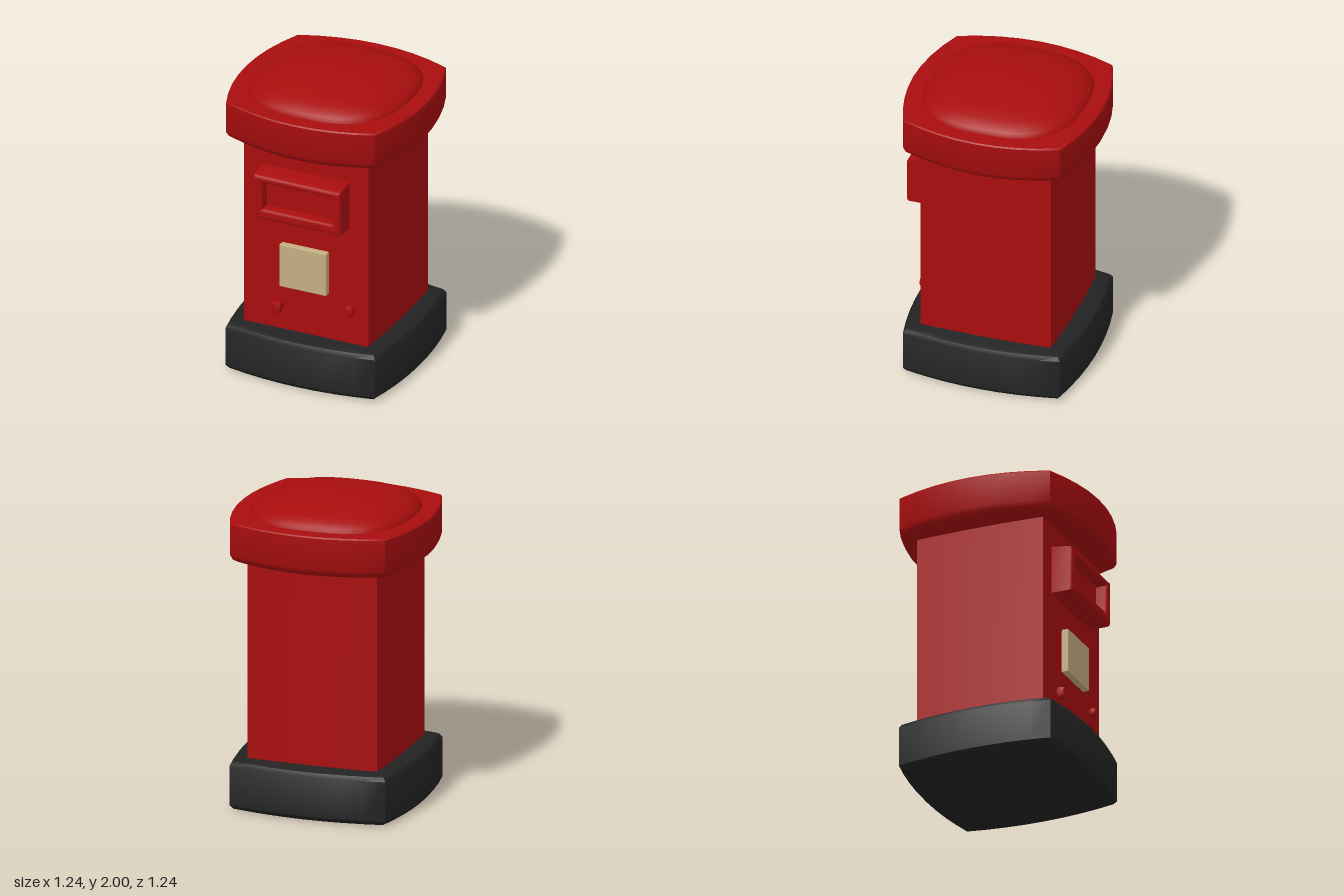
import * as THREE from 'three';
import { toCreasedNormals } from 'three/addons/utils/BufferGeometryUtils.js';
import { RoundedBoxGeometry } from 'three/addons/geometries/RoundedBoxGeometry.js';

// Square outline whose four sides bow outward: m = half width mid-side, c = half width at corners
function bowedSquare(m, c, steps = 8) {
  const pts = [];
  for (let k = 0; k < 4; k++) {
    for (let i = 0; i < steps; i++) {
      const t = -1 + (2 * i) / steps;
      const u = c * t, v = m - (m - c) * t * t;
      pts.push([[u, v], [v, -u], [-u, -v], [-v, u]][k]);
    }
  }
  return pts;
}

// Circle pushed slightly towards a square
function softCircle(r, n = 2.7, steps = 40) {
  const pts = [];
  for (let i = 0; i < steps; i++) {
    const a = (i / steps) * Math.PI * 2;
    const s = Math.sin(a), c = Math.cos(a);
    const k = r / Math.pow(Math.abs(s) ** n + Math.abs(c) ** n, 1 / n);
    pts.push([s * k, c * k]);
  }
  return pts;
}

// Stacks outlines from bottom to top and closes both ends
function loft(rings, crease = 0.6) {
  const pos = [];
  const n = rings[0].pts.length;
  const at = (r, i) => [r.pts[i % n][0], r.y, r.pts[i % n][1]];
  for (let i = 0; i < n; i++) {
    for (let j = 0; j < rings.length - 1; j++) {
      const a = at(rings[j], i), b = at(rings[j], i + 1);
      const c = at(rings[j + 1], i + 1), d = at(rings[j + 1], i);
      pos.push(...a, ...b, ...c, ...a, ...c, ...d);
    }
    const lo = rings[0], hi = rings[rings.length - 1];
    pos.push(0, lo.y, 0, ...at(lo, i + 1), ...at(lo, i));
    pos.push(0, hi.yCentre ?? hi.y, 0, ...at(hi, i), ...at(hi, i + 1));
  }
  const g = new THREE.BufferGeometry();
  g.setAttribute('position', new THREE.Float32BufferAttribute(pos, 3));
  return toCreasedNormals(g, crease);
}

function rectPath(Type, x0, y0, x1, y1) {
  return new Type([[x0, y0], [x1, y0], [x1, y1], [x0, y1]].map(p => new THREE.Vector2(...p)));
}

export function createModel() {
  const red = new THREE.MeshStandardMaterial({ color: 0xa80d0e });
  red.name = 'pillar red';
  const black = new THREE.MeshStandardMaterial({ color: 0x222222 });
  black.name = 'base black';
  const cream = new THREE.MeshStandardMaterial({ color: 0xc4ad80 });
  cream.name = 'notice cream';

  const model = new THREE.Group();
  model.name = 'postBox';
  const add = (name, geometry, material, x = 0, y = 0, z = 0) => {
    const mesh = new THREE.Mesh(geometry, material);
    mesh.name = name;
    mesh.position.set(x, y, z);
    model.add(mesh);
    return mesh;
  };
  const bowedStack = rows => loft(rows.map(([y, m, c]) => ({ y, pts: bowedSquare(m, c) })));

  // Black plinth with softened rims
  add('base', bowedStack([
    [0, 0.53, 0.475], [0.01, 0.555, 0.498], [0.035, 0.575, 0.517],
    [0.295, 0.575, 0.517], [0.32, 0.56, 0.502], [0.33, 0.535, 0.48],
  ]), black);

  // Pillar: bowed sides and back, flat front
  const body = [0.3, 1.66].map(y => ({
    y, pts: bowedSquare(0.443, 0.43).map(([x, z]) => [x, Math.min(z, 0.43)]),
  }));
  add('body', loft(body), red);

  // Overhanging cap with a rounded lower rim
  add('cap', bowedStack([
    [1.61, 0.55, 0.445], [1.618, 0.58, 0.475], [1.64, 0.608, 0.502],
    [1.67, 0.622, 0.515], [1.872, 0.622, 0.515], [1.88, 0.615, 0.508],
  ]), red);

  // Low dome on the cap
  const dome = [
    [1.87, 0.512], [1.885, 0.51], [1.905, 0.495], [1.93, 0.462], [1.95, 0.42],
    [1.975, 0.33], [1.99, 0.22], [1.998, 0.1],
  ].map(([y, r]) => ({ y, pts: softCircle(r) }));
  dome[dome.length - 1].yCentre = 2;
  add('dome', loft(dome, 0.9), red);

  // Letter slot: bevelled frame, top sloping down towards the front
  const bevel = 0.02;
  const frame = rectPath(THREE.Shape, -0.28, 1.16, 0.28, 1.44);
  frame.holes.push(rectPath(THREE.Path, -0.26, 1.19, 0.26, 1.415));
  const slot = new THREE.ExtrudeGeometry(frame, {
    depth: 0.14, bevelEnabled: true, bevelSize: bevel, bevelThickness: bevel, bevelSegments: 3,
  });
  slot.translate(0, 0, 0.41);
  const p = slot.attributes.position;
  for (let i = 0; i < p.count; i++) {
    if (p.getY(i) > 1.42) p.setY(i, p.getY(i) - 0.16 * Math.max(0, p.getZ(i) - 0.43));
  }
  add('slotFrame', toCreasedNormals(slot, 0.6), red);
  add('slotBack', new THREE.BoxGeometry(0.54, 0.26, 0.08), red, 0, 1.3, 0.455);

  // Notice plate on a thin red backing
  add('noticeBacking', new THREE.BoxGeometry(0.31, 0.28, 0.03), red, 0, 0.795, 0.432);
  add('noticePlate', new RoundedBoxGeometry(0.325, 0.295, 0.045, 2, 0.006), cream, 0, 0.797, 0.46);

  // Door knob
  const knobProfile = [[0, -0.05], [0.022, -0.05], [0.024, -0.01], [0.033, 0], [0.034, 0.02], [0.026, 0.034], [0, 0.038]]
    .map(q => new THREE.Vector2(...q));
  const knob = new THREE.LatheGeometry(knobProfile, 14);
  knob.rotateX(Math.PI / 2);
  add('doorKnob', toCreasedNormals(knob, 0.7), red, 0.305, 0.565, 0.437);

  // Shield-shaped keyhole cover
  const shield = new THREE.Shape();
  shield.moveTo(0, -0.034);
  shield.lineTo(0.017, -0.022);
  shield.lineTo(0.025, 0.005);
  shield.lineTo(0.02, 0.024);
  shield.lineTo(-0.02, 0.024);
  shield.lineTo(-0.025, 0.005);
  shield.lineTo(-0.017, -0.022);
  const cover = new THREE.ExtrudeGeometry(shield, {
    depth: 0.036, bevelEnabled: true, bevelSize: 0.01, bevelThickness: 0.012, bevelSegments: 2,
  });
  add('keyholeCover', toCreasedNormals(cover, 0.7), red, -0.19, 0.487, 0.43);

  return model;
}
